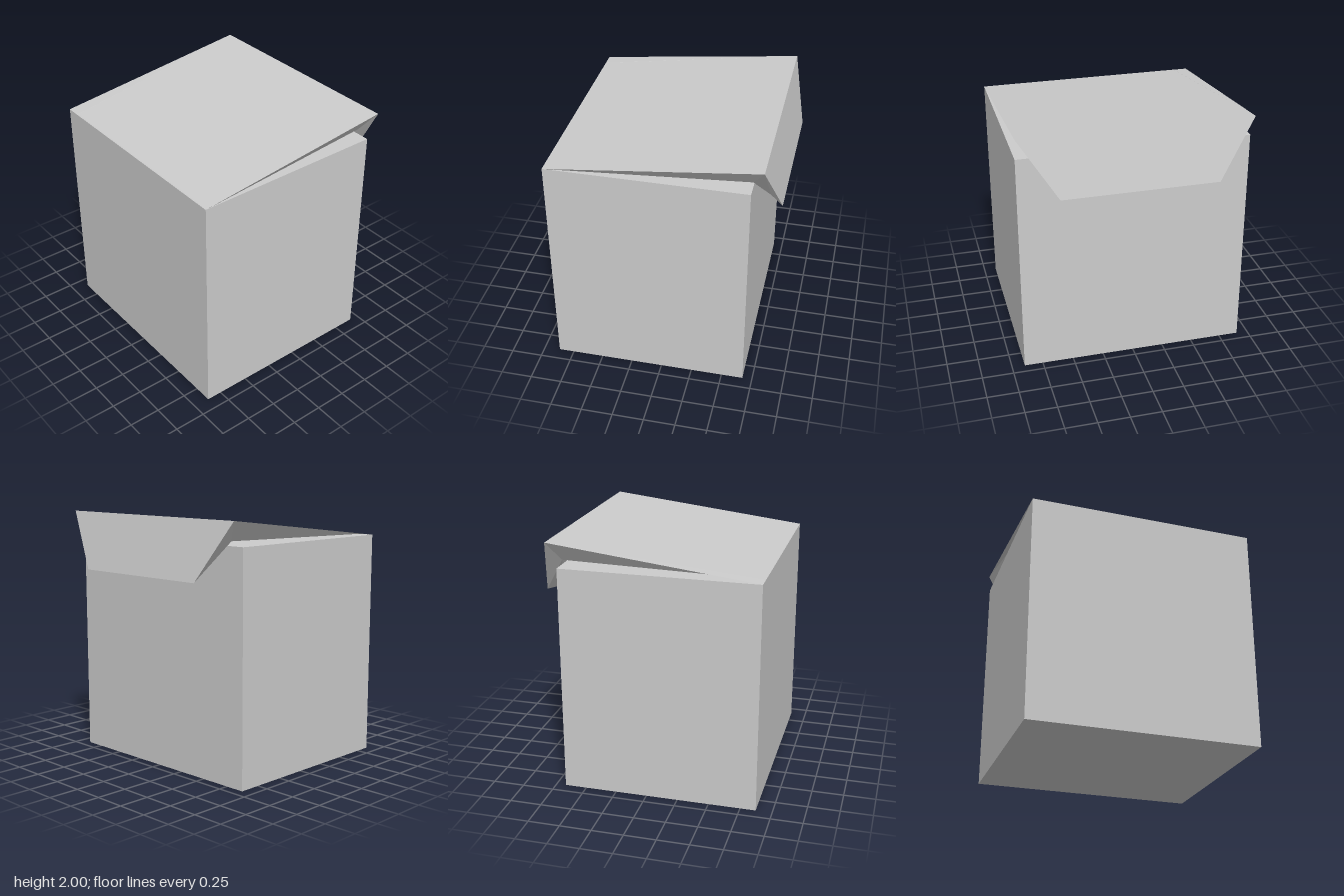
import * as THREE from 'three';

// Flat-shaded skin over four-cornered cross-sections, closed at the last one
function loft(sections) {
  const pos = [];
  const quad = (a, b, c, d) => pos.push(...a, ...b, ...c, ...a, ...c, ...d);
  for (let i = 0; i < sections.length - 1; i++) {
    const p = sections[i], q = sections[i + 1];
    for (let j = 0; j < 4; j++) {
      const k = (j + 1) % 4;
      quad(p[j], p[k], q[k], q[j]);
    }
  }
  quad(...sections[sections.length - 1]);
  const geo = new THREE.BufferGeometry();
  geo.setAttribute('position', new THREE.Float32BufferAttribute(pos, 3));
  geo.computeVertexNormals();
  return geo;
}

// Cross-section: wide outer edge and narrower inner edge, each as [half width, y, z]
function section([ow, oy, oz], [iw, iy, iz], cx = 0) {
  return [[cx - ow, oy, oz], [cx + ow, oy, oz], [cx + iw, iy, iz], [cx - iw, iy, iz]];
}

export function createModel() {
  const group = new THREE.Group();
  const material = new THREE.MeshStandardMaterial({ color: 0xcccccc, flatShading: true, side: THREE.DoubleSide });
  const add = (name, geo) => {
    const mesh = new THREE.Mesh(geo, material);
    mesh.name = name;
    group.add(mesh);
  };

  // Closed body
  add('boxBody', new THREE.BoxGeometry(1.806, 1.81, 1.545).translate(-0.005, 0.905, 0.1));

  // Lid raised from the front edge, its tapered flap folded down behind
  const hinge = section([0.903, 1.81, 0.873], [0.79, 1.811, 0.872], -0.005);
  const crease = section([0.903, 2.0, -0.762], [0.79, 1.845, -0.67]);
  const flapEnd = section([0.61, 1.545, -0.873], [0.5, 1.553, -0.77]);
  add('lidWithFlap', loft([hinge, crease, flapEnd]));

  return group;
}
